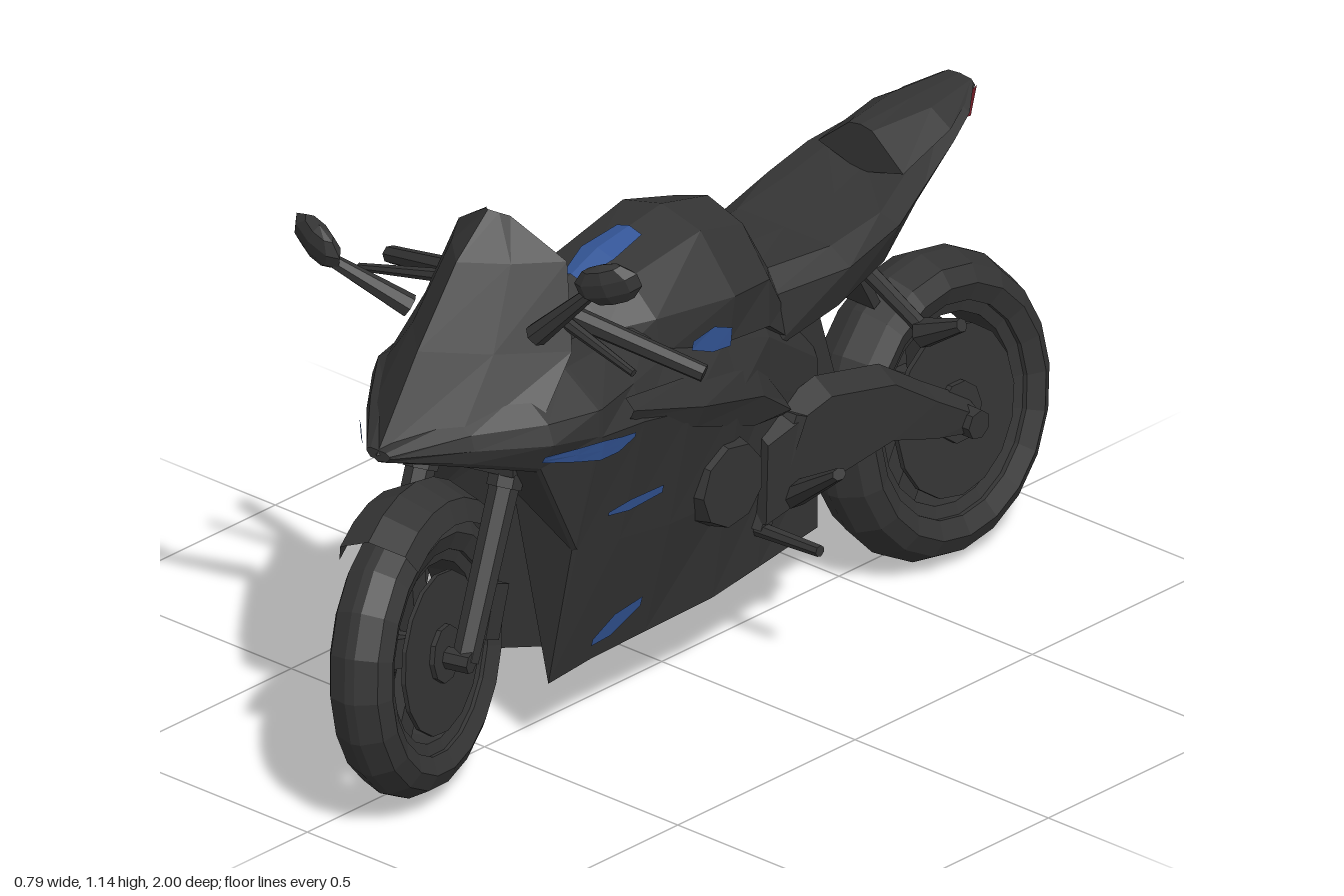
import * as THREE from 'three';

const V = (p) => new THREE.Vector3(...p);
const material = (name, color) => {
  const m = new THREE.MeshStandardMaterial({ color, flatShading: true, side: THREE.DoubleSide });
  m.name = name;
  return m;
};

export function createModel() {
  const black = material('black', 0x343434), blue = material('blue', 0x335596), red = material('red', 0x7a1e28);
  const bike = new THREE.Group();
  bike.name = 'motorcycle';

  const add = (name, geo, parent = bike, mat = black) => {
    const m = new THREE.Mesh(geo, mat);
    m.name = name;
    parent.add(m);
    return m;
  };
  const box = (name, size, pos, parent = bike, rot = [0, 0, 0]) => {
    const m = add(name, new THREE.BoxGeometry(...size), parent);
    m.position.set(...pos);
    m.rotation.set(...rot);
  };
  // Tapered rod between two points
  const rod = (name, a, b, r1, r2 = r1, parent = bike, sides = 7) => {
    const d = V(b).sub(V(a));
    const m = add(name, new THREE.CylinderGeometry(r2, r1, d.length(), sides), parent);
    m.position.copy(V(a).addScaledVector(d, 0.5));
    m.quaternion.setFromUnitVectors(new THREE.Vector3(0, 1, 0), d.normalize());
    return m;
  };
  // Skin over rings of equal point count; closed rings get end caps
  const skin = (rings, closed = true) => {
    const n = rings[0].length, pos = rings.flat(2), idx = [];
    for (let i = 0; i < rings.length - 1; i++) {
      for (let j = 0; j < (closed ? n : n - 1); j++) {
        const a = i * n + j, b = i * n + (j + 1) % n;
        idx.push(a, b, a + n, b, b + n, a + n);
      }
    }
    if (closed) [0, rings.length - 1].forEach((k) => {
      const c = pos.length / 3;
      pos.push(...[0, 1, 2].map((ax) => rings[k].reduce((s, p) => s + p[ax], 0) / n));
      for (let j = 0; j < n; j++) {
        const a = k * n + j, b = k * n + (j + 1) % n;
        idx.push(...(k === 0 ? [c, b, a] : [c, a, b]));
      }
    });
    let g = new THREE.BufferGeometry();
    g.setAttribute('position', new THREE.Float32BufferAttribute(pos, 3));
    g.setIndex(idx);
    g = g.toNonIndexed();
    g.computeVertexNormals();
    return g;
  };
  // Mirrored half sections, front to back: [z, top centre ... bottom centre]
  const body = (sections) => skin(sections.map(([z, ...h]) => [
    ...h.map(([x, y]) => [x, y, z]), ...h.slice(1, -1).reverse().map(([x, y]) => [-x, y, z])]));
  // Ring turned around the wheel axle (x)
  const turned = (pts, sides, start = 0, len = Math.PI * 2) =>
    new THREE.LatheGeometry(pts.map((p) => new THREE.Vector2(...p)), sides, start, len).rotateZ(Math.PI / 2);

  // Main fairing and belly, open behind the front wheel
  const fairing = [
    [0.80, [0, 0.74], [0.02, 0.74], [0.03, 0.735], [0.03, 0.73], [0.02, 0.72], [0.01, 0.72], [0, 0.715]],
    [0.68, [0, 0.80], [0.09, 0.79], [0.13, 0.77], [0.14, 0.74], [0.13, 0.71], [0.12, 0.70], [0, 0.70]],
    [0.56, [0, 0.84], [0.15, 0.83], [0.22, 0.78], [0.235, 0.74], [0.20, 0.68], [0.19, 0.67], [0, 0.68]],
    [0.45, [0, 0.86], [0.16, 0.84], [0.25, 0.78], [0.25, 0.725], [0.19, 0.47], [0.18, 0.46], [0, 0.66]],
    [0.44, [0, 0.86], [0.16, 0.84], [0.25, 0.78], [0.25, 0.72], [0.185, 0.46], [0.11, 0.15], [0, 0.62]],
    [0.32, [0, 0.86], [0.15, 0.84], [0.22, 0.78], [0.25, 0.71], [0.185, 0.44], [0.11, 0.16], [0, 0.15]],
    [0.18, [0, 0.86], [0.13, 0.84], [0.18, 0.78], [0.24, 0.68], [0.185, 0.42], [0.12, 0.17], [0, 0.15]],
    [0.00, [0, 0.82], [0.12, 0.80], [0.165, 0.74], [0.205, 0.64], [0.165, 0.40], [0.13, 0.18], [0, 0.16]],
    [-0.14, [0, 0.78], [0.11, 0.76], [0.15, 0.69], [0.15, 0.58], [0.14, 0.38], [0.12, 0.19], [0, 0.17]],
    [-0.33, [0, 0.60], [0.08, 0.60], [0.10, 0.56], [0.10, 0.48], [0.10, 0.36], [0.10, 0.20], [0, 0.18]],
  ];
  add('fairing', body(fairing));

  // Fairing half width at a given z and y
  const fairingX = (z, y) => {
    const i = fairing.findIndex((s, k) => z <= s[0] && z >= fairing[k + 1][0]);
    const [z0, ...a] = fairing[i], [z1, ...b] = fairing[i + 1], t = (z0 - z) / (z0 - z1);
    const p = a.map(([x, v], j) => [x + (b[j][0] - x) * t, v + (b[j][1] - v) * t]);
    const j = p.findIndex((q, k) => y <= q[1] && y >= p[k + 1][1]);
    return p[j][0] + (p[j + 1][0] - p[j][0]) * (p[j][1] - y) / (p[j][1] - p[j + 1][1]);
  };

  // Nose and windscreen: [centre y, centre z, half width, edge y, edge z]
  add('windscreen', skin([
    [0.73, 0.805, 0.205, 0.77, 0.57], [0.91, 0.69, 0.19, 0.89, 0.46], [1.06, 0.58, 0.14, 1.05, 0.42],
    [1.14, 0.49, 0.03, 1.125, 0.46],
  ].map(([yc, zc, x, ye, ze]) => [1, 0.55, 0, -0.55, -1].map((s) => {
    const t = Math.abs(s) * (Math.abs(s) < 1 ? 0.8 : 1);
    return [s * x, yc + (ye - yc) * t, zc + (ze - zc) * t];
  })), false));
  box('instrumentPanel', [0.16, 0.1, 0.05], [0, 0.91, 0.5], bike, [-0.5, 0, 0]);
  box('topClamp', [0.24, 0.04, 0.1], [0, 0.885, 0.41]);

  add('tank', body([
    [0.34, [0, 0.86], [0.05, 0.85], [0.08, 0.82], [0.09, 0.78], [0, 0.7]],
    [0.28, [0, 0.908], [0.06, 0.89], [0.11, 0.84], [0.13, 0.78], [0, 0.7]],
    [0.19, [0, 0.945], [0.09, 0.915], [0.16, 0.85], [0.17, 0.77], [0, 0.7]],
    [0.00, [0, 0.975], [0.1, 0.95], [0.19, 0.84], [0.175, 0.74], [0, 0.7]],
    [-0.13, [0, 0.945], [0.09, 0.915], [0.16, 0.82], [0.16, 0.72], [0, 0.65]],
    [-0.21, [0, 0.80], [0.08, 0.79], [0.12, 0.72], [0.13, 0.66], [0, 0.62]],
  ]));

  // Seat and tail, leaning slightly to the right
  const tail = new THREE.Group();
  tail.name = 'tail';
  tail.position.x = -0.013;
  bike.add(tail);
  add('seat', body([
    [-0.17, [0, 0.80], [0.09, 0.79], [0.13, 0.75], [0.14, 0.64], [0, 0.58]],
    [-0.36, [0, 0.79], [0.12, 0.79], [0.17, 0.76], [0.14, 0.67], [0, 0.62]],
    [-0.50, [0, 0.81], [0.12, 0.81], [0.17, 0.80], [0.13, 0.71], [0, 0.67]],
    [-0.59, [0, 0.84], [0.1, 0.85], [0.15, 0.84], [0.11, 0.77], [0, 0.74]],
    [-0.72, [0, 0.89], [0.07, 0.9], [0.11, 0.88], [0.08, 0.85], [0, 0.835]],
    [-0.79, [0, 0.915], [0.05, 0.92], [0.085, 0.905], [0.055, 0.89], [0, 0.885]],
    [-0.85, [0, 0.935], [0.03, 0.935], [0.04, 0.93], [0.03, 0.92], [0, 0.915]],
  ]), tail);
  add('tailCowl', body([
    [-0.575, [0, 0.93], [0.03, 0.925], [0.11, 0.86], [0, 0.83]],
    [-0.72, [0, 0.935], [0.05, 0.93], [0.1, 0.90], [0, 0.86]],
    [-0.855, [0, 0.938], [0.03, 0.935], [0.04, 0.925], [0, 0.92]],
  ]), tail);
  add('tailLight', skin([[0.042, 0.925, 0.03, 0.911, -0.857], [0.088, 0.9, 0.058, 0.882, -0.79]].map(
    ([x1, y1, x2, y2, z]) => [[x1, y1, z], [x2, y2, z], [-x2, y2, z], [-x1, y1, z]]), false), tail, red);

  // Wheels
  const wheel = (name, R, w, parent, lean, pos) => {
    const g = new THREE.Group();
    g.name = name;
    parent.add(g);
    add('tyre', turned([[R * 0.7, -w * 0.8], [R * 0.82, -w], [R * 0.93, -w * 0.75], [R, -w * 0.15], [R, w * 0.15],
      [R * 0.93, w * 0.75], [R * 0.82, w], [R * 0.7, w * 0.8], [R * 0.7, -w * 0.8]], 20), g);
    add('rim', turned([[R * 0.62, -w * 0.6], [R * 0.72, -w * 0.7], [R * 0.72, w * 0.7], [R * 0.62, w * 0.6],
      [R * 0.62, -w * 0.6]], 20), g);
    rod('hub', [-w, 0, 0], [w, 0, 0], R * 0.2, R * 0.2, g, 10);
    for (let i = 0; i < 5; i++) {
      const a = i * Math.PI * 0.4;
      box('spoke', [w * 0.5, R * 0.55, R * 0.2], [0, Math.cos(a) * R * 0.38, Math.sin(a) * R * 0.38], g, [a, 0, 0]);
    }
    for (const s of [-1, 1])
      add('brakeDisc', turned([[R * 0.12, s * w * 0.85], [R * 0.56, s * w * 0.85], [R * 0.56, s * w * 0.72]], 16), g);
    g.position.set(...pos);
    g.rotation.z = lean;
    g.scale.z = 0.945;
    return g;
  };
  wheel('rearWheel', 0.31, 0.085, bike, 0.1, [0.045, 0.311, -0.703]);
  // Front wheel and fork, turned to the left
  const steering = new THREE.Group();
  steering.name = 'steering';
  steering.position.z = 0.55;
  steering.rotation.y = 0.26;
  bike.add(steering);
  const front = wheel('frontWheel', 0.29, 0.068, steering, 0.07, [-0.01, 0.308, 0.19]);
  add('frontFender', turned([[0.26, -0.085], [0.305, -0.07], [0.335, 0], [0.305, 0.07], [0.26, 0.085]], 7, 1.05, 1.55), front);
  for (const s of [-1, 1]) {
    rod('forkLeg', [s * 0.09, 0.3, 0.18], [s * 0.09, 0.6, 0.02], 0.027, 0.03, steering);
    rod('forkTube', [s * 0.09, 0.6, 0.02], [s * 0.09, 0.88, -0.12], 0.035, 0.035, steering);
    box('caliper', [0.035, 0.11, 0.06], [s * 0.085, 0.36, 0.07], steering, [-0.4, 0, 0]);
  }
  rod('frontAxle', [-0.11, 0.305, 0.19], [0.11, 0.305, 0.19], 0.022, 0.022, steering);
  box('lowerClamp', [0.24, 0.05, 0.08], [0, 0.66, 0], steering);

  // Parts repeated on both sides
  for (const s of [-1, 1]) {
    rod('engineCover', [s * 0.1, 0.45, 0.02], [s * 0.205, 0.45, 0.02], 0.11, 0.085, bike, 9);
    const arm = [[-0.12, 0.3, 0.5], [-0.3, 0.33, 0.54], [-0.48, 0.35, 0.5], [-0.6, 0.31, 0.42], [-0.73, 0.28, 0.34]];
    add('swingArm', skin(arm.map(([z, lo, hi]) => [[0.1, hi], [0.145, hi - 0.03], [0.14, lo], [0.1, lo]]
      .map(([x, y]) => [s * x + 0.02, y, z]))));
    rod('footPeg', [s * 0.12, 0.28, -0.13], [s * 0.29, 0.285, -0.13], 0.016, 0.012);
    rod('pegBracket', [s * 0.13, 0.28, -0.13], [s * 0.14, 0.5, -0.22], 0.025, 0.03);
    rod('heelBlade', [s * 0.15, 0.33, -0.21], [s * 0.285, 0.425, -0.19], 0.026, 0.012).scale.z = 1.4;
    rod('signalStalk', [s * 0.04, 0.67, -0.52], [s * 0.2, 0.575, -0.53], 0.018, 0.016);
    rod('rearSignal', [s * 0.19, 0.57, -0.53], [s * 0.29, 0.62, -0.53], 0.03, 0.014);
    // Raised panel sweeping back over the engine
    const panel = [[0.36, 0.73, 0.77], [0.15, 0.63, 0.73], [-0.08, 0.53, 0.67], [-0.2, 0.5, 0.53]];
    add('sidePanel', skin(panel.map(([z, lo, hi]) => [[hi, 0], [(lo + hi) / 2, 0.016], [lo, 0]]
      .map(([y, o]) => [s * (fairingX(z, y) + o + 0.003), y, z])), false));
    // Blue flashes laid on the fairing
    const flash = (name, rows) => add(name, skin(rows.map(([z, lo, hi]) => [hi, (lo + hi) / 2, lo].map(
      (y) => [s * (fairingX(z, y) + 0.008), y, z])), false), bike, blue);
    flash('upperFlash', [[0.57, 0.70, 0.715], [0.5, 0.685, 0.718], [0.44, 0.67, 0.715], [0.39, 0.67, 0.705], [0.35, 0.69, 0.7]]);
    flash('middleFlash', [[0.38, 0.518, 0.526], [0.32, 0.508, 0.534], [0.23, 0.515, 0.532]]);
    flash('lowerFlash', [[0.34, 0.2, 0.215], [0.29, 0.205, 0.255], [0.22, 0.25, 0.27]]);
    add('tankFlash', skin([[0.13, 0.775, 0.795], [0.07, 0.75, 0.805], [0.02, 0.745, 0.785]].map(([z, lo, hi]) =>
      [[s * 0.201, hi, z], [s * 0.197, lo, z]]), false), bike, blue);
  }
  add('noseFlash', skin([[-0.14, 0.724, 0.7], [-0.09, 0.718, 0.75]].map(([x, y, z]) =>
    [[x, y, z], [x, y - 0.014, z - 0.004]]), false), bike, blue);
  add('tankTopFlash', skin([[0.265, 0.917, 0.022], [0.19, 0.947, 0.042], [0.1, 0.961, 0.032]].map(([z, y, w]) =>
    [-w, 0, w].map((x) => [x + 0.008, y + 0.006 - Math.abs(x) * 0.28, z])), false), bike, blue);

  // Rear frame, shock, muffler and plate hanger
  box('rearFrame', [0.18, 0.2, 0.22], [0, 0.55, -0.26], bike, [0.3, 0, 0]);
  rod('shock', [0, 0.38, -0.36], [0, 0.66, -0.34], 0.035);
  rod('muffler', [-0.12, 0.26, -0.05], [-0.12, 0.27, -0.36], 0.05, 0.045);
  box('plateHanger', [0.1, 0.14, 0.02], [0, 0.635, -0.52], bike, [0.5, 0, 0]);
  rod('rearAxle', [-0.12, 0.31, -0.7], [0.18, 0.31, -0.7], 0.03);

  // Handlebars, levers and mirrors, turned with the steering
  rod('rightBar', [-0.13, 0.94, 0.42], [-0.39, 0.86, 0.34], 0.022, 0.018);
  rod('leftBar', [0.13, 0.94, 0.42], [0.385, 0.85, 0.3], 0.022, 0.018);
  rod('rightLever', [-0.15, 0.93, 0.44], [-0.37, 0.88, 0.45], 0.014, 0.008);
  rod('leftLever', [0.15, 0.945, 0.45], [0.34, 0.89, 0.45], 0.014, 0.008);
  const mirror = (name, base, end, c, tilt) => {
    rod(name + 'Stalk', base, end, 0.024, 0.014);
    const m = add(name, new THREE.SphereGeometry(1, 8, 5));
    m.scale.set(0.072, 0.046, 0.026);
    m.position.set(...c);
    m.rotation.set(0.2, ...tilt);
  };
  mirror('rightMirror', [-0.13, 0.92, 0.57], [-0.24, 1.01, 0.66], [-0.285, 1.04, 0.66], [-0.2, -0.35]);
  mirror('leftMirror', [0.16, 0.94, 0.53], [0.28, 1.06, 0.51], [0.32, 1.09, 0.5], [0.4, 0.25]);
  return bike;
}
